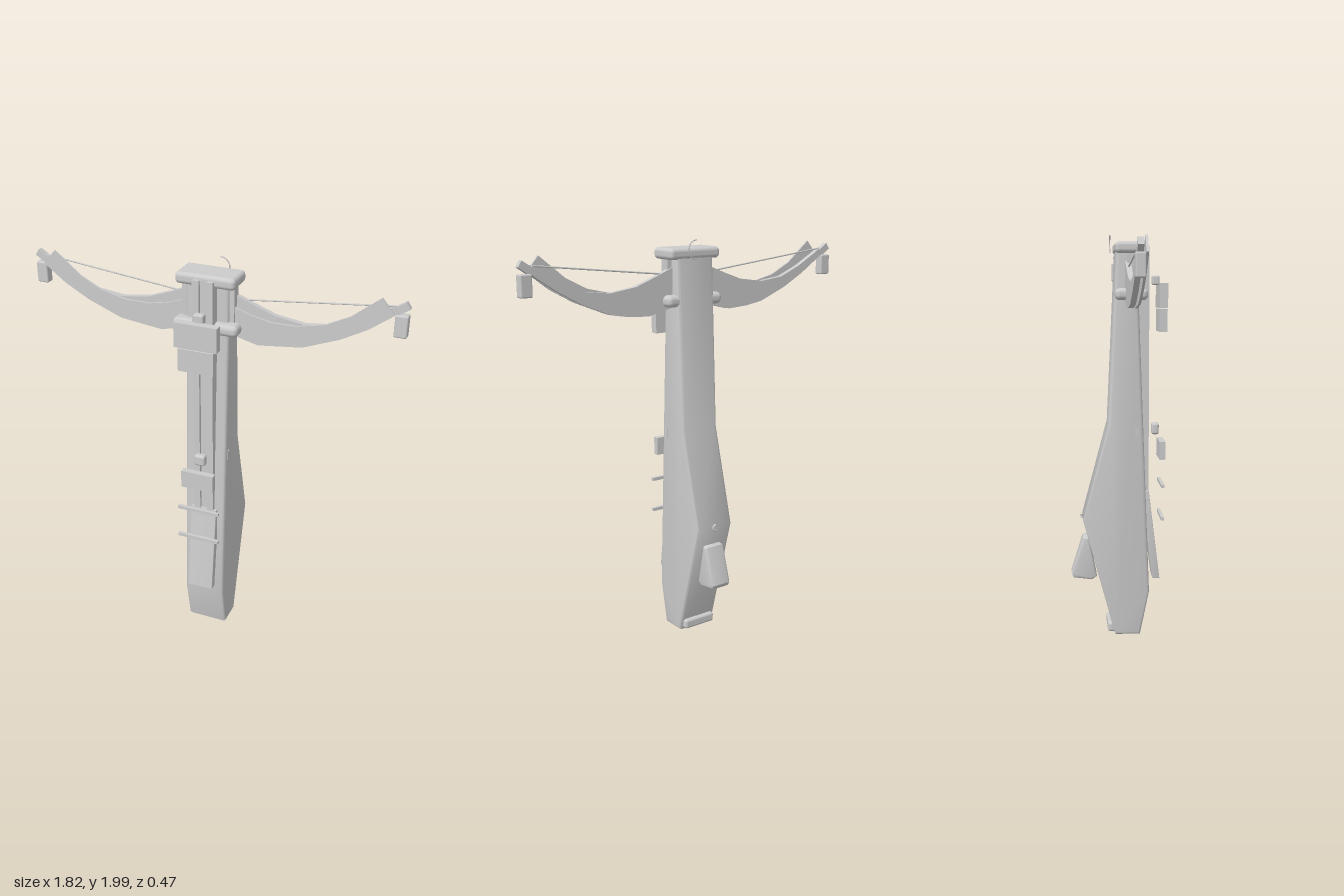
import * as THREE from 'three';
import { toCreasedNormals } from 'three/addons/utils/BufferGeometryUtils.js';
import { RoundedBoxGeometry } from 'three/addons/geometries/RoundedBoxGeometry.js';

const material = new THREE.MeshStandardMaterial({ color: 0xcccccc });

export function createModel() {
  const model = new THREE.Group();

  const add = (name, geometry) => {
    const mesh = new THREE.Mesh(geometry, material);
    mesh.name = name;
    model.add(mesh);
    return mesh;
  };

  // Box given by its limits on each axis, rounded when r > 0
  const box = (name, [x0, x1], [y0, y1], [z0, z1], r = 0) => {
    const size = [x1 - x0, y1 - y0, z1 - z0];
    const geometry = r ? new RoundedBoxGeometry(...size, 3, r) : new THREE.BoxGeometry(...size);
    const mesh = add(name, geometry);
    mesh.position.set((x0 + x1) / 2, (y0 + y1) / 2, (z0 + z1) / 2);
    return mesh;
  };

  const shapeOf = (points) => new THREE.Shape(points.map(([a, b]) => new THREE.Vector2(a, b)));

  // Side profile in (z, y), extruded across x with rounded edges
  const sideProfile = (name, points, halfWidth, bevel) => {
    let geometry = new THREE.ExtrudeGeometry(shapeOf(points), {
      depth: 2 * (halfWidth - bevel), bevelThickness: bevel, bevelSize: bevel,
      bevelOffset: -bevel, bevelSegments: 3,
    });
    geometry.translate(0, 0, -(halfWidth - bevel));
    geometry.rotateY(-Math.PI / 2);
    geometry = toCreasedNormals(geometry, 0.6);
    return add(name, geometry);
  };

  // Stock
  sideProfile('stock', [
    [-0.015, 0.01], [0.11, 0.01], [0.155, 0.23], [0.135, 0.75], [0.1, 1.65],
    [0.1, 1.93], [-0.01, 1.93], [-0.048, 1.08], [-0.175, 0.6],
  ], 0.105, 0.014);

  // Rear grip, trigger plate and foot
  sideProfile('grip', [
    [-0.145, 0.505], [-0.175, 0.5], [-0.232, 0.315], [-0.222, 0.295], [-0.13, 0.283], [-0.105, 0.3],
  ], 0.055, 0.012);
  sideProfile('triggerPlate', [
    [0.13, 0.74], [0.154, 0.74], [0.21, 0.29], [0.175, 0.29], [0.135, 0.6],
  ], 0.067, 0.003);
  box('foot', [-0.09, 0.09], [0.02, 0.07], [-0.052, 0.01], 0.014);

  // Bolt rail with a central groove
  box('rail', [-0.05, 0.05], [0.74, 1.94], [0.08, 0.138]);
  for (const s of [-1, 1]) {
    box('railRidge', [s * 0.034 - 0.016, s * 0.034 + 0.016], [0.74, 1.94], [0.13, 0.154]);
  }

  // Latches, sight plates and cross bars ahead of the rail
  box('lowerLatch', [-0.028, 0.028], [1.018, 1.075], [0.17, 0.207], 0.012);
  box('upperLatch', [-0.025, 0.025], [1.755, 1.802], [0.17, 0.207], 0.009);
  box('frontPlate', [-0.105, 0.105], [1.645, 1.765], [0.2, 0.24]);
  box('middlePlate', [-0.087, 0.087], [1.53, 1.64], [0.2, 0.24]);
  box('rearPlate', [-0.083, 0.083], [0.9, 0.99], [0.205, 0.235]);
  for (const y of [0.605, 0.77]) {
    box('crossBar', [-0.107, 0.107], [y - 0.008, y + 0.008], [0.212, 0.228]);
  }

  // Head: cap, riser and clamp
  box('cap', [-0.145, 0.145], [1.905, 1.96], [-0.017, 0.135], 0.02);
  box('riser', [-0.128, 0.128], [1.7, 1.915], [0.04, 0.088]);
  box('clamp', [-0.16, 0.16], [1.683, 1.74], [-0.018, 0.14], 0.024);

  // Limb outlines: upper edge outward, then lower edge back
  const backLimb = [
    [0.1, 1.87], [0.2, 1.83], [0.31, 1.79], [0.45, 1.77], [0.58, 1.785], [0.7, 1.835],
    [0.8, 1.89], [0.84, 1.915], [0.86, 1.89], [0.82, 1.86], [0.72, 1.795],
    [0.6, 1.73], [0.45, 1.67], [0.35, 1.653], [0.24, 1.647], [0.1, 1.68],
  ];
  const frontLimb = [
    [0.1, 1.82], [0.2, 1.785], [0.3, 1.765], [0.42, 1.765], [0.55, 1.795], [0.66, 1.85],
    [0.79, 1.955], [0.85, 1.885], [0.74, 1.803], [0.62, 1.737], [0.45, 1.67],
    [0.24, 1.645], [0.1, 1.68],
  ];
  const limb = (name, points, s, z0, depth) => {
    const geometry = new THREE.ExtrudeGeometry(shapeOf(points.map(([x, y]) => [s * x, y])),
      { depth, bevelEnabled: false });
    geometry.translate(0, 0, z0);
    add(name, toCreasedNormals(geometry, 0.5));
  };

  for (const s of [-1, 1]) {
    const span = (a, b) => (s > 0 ? [a, b] : [-b, -a]);
    limb('backLimb', backLimb, s, 0.032, 0.026);
    limb('frontLimb', frontLimb, s, 0.069, 0.011);

    // Limb tip and hanging weight
    const tip = box('limbTip', span(0.835, 0.905), [1.89, 1.925], [0.03, 0.056]);
    tip.rotation.z = s * 0.58;
    box('tipWeight', span(0.847, 0.905), [1.78, 1.882], [0.02, 0.065], 0.007);

    // Half of the string
    const path = new THREE.LineCurve3(
      new THREE.Vector3(s * 0.87, 1.918, 0.045), new THREE.Vector3(0, 1.823, 0.045));
    add('string', new THREE.TubeGeometry(path, 1, 0.004, 8));

    box('sidePin', span(0.1, 0.109), [1.02, 1.07], [0.083, 0.1]);
  }

  // Small half-ring hooks at the back
  const hook = (name, radius, tube, x, y, z) => {
    const mesh = add(name, new THREE.TorusGeometry(radius, tube, 8, 20, Math.PI));
    mesh.rotation.z = -Math.PI / 2;
    mesh.position.set(x, y, z);
  };
  hook('topHook', 0.045, 0.003, 0.012, 1.952, -0.034);
  hook('slingHook', 0.014, 0.006, 0, 0.6, -0.18);

  return model;
}
